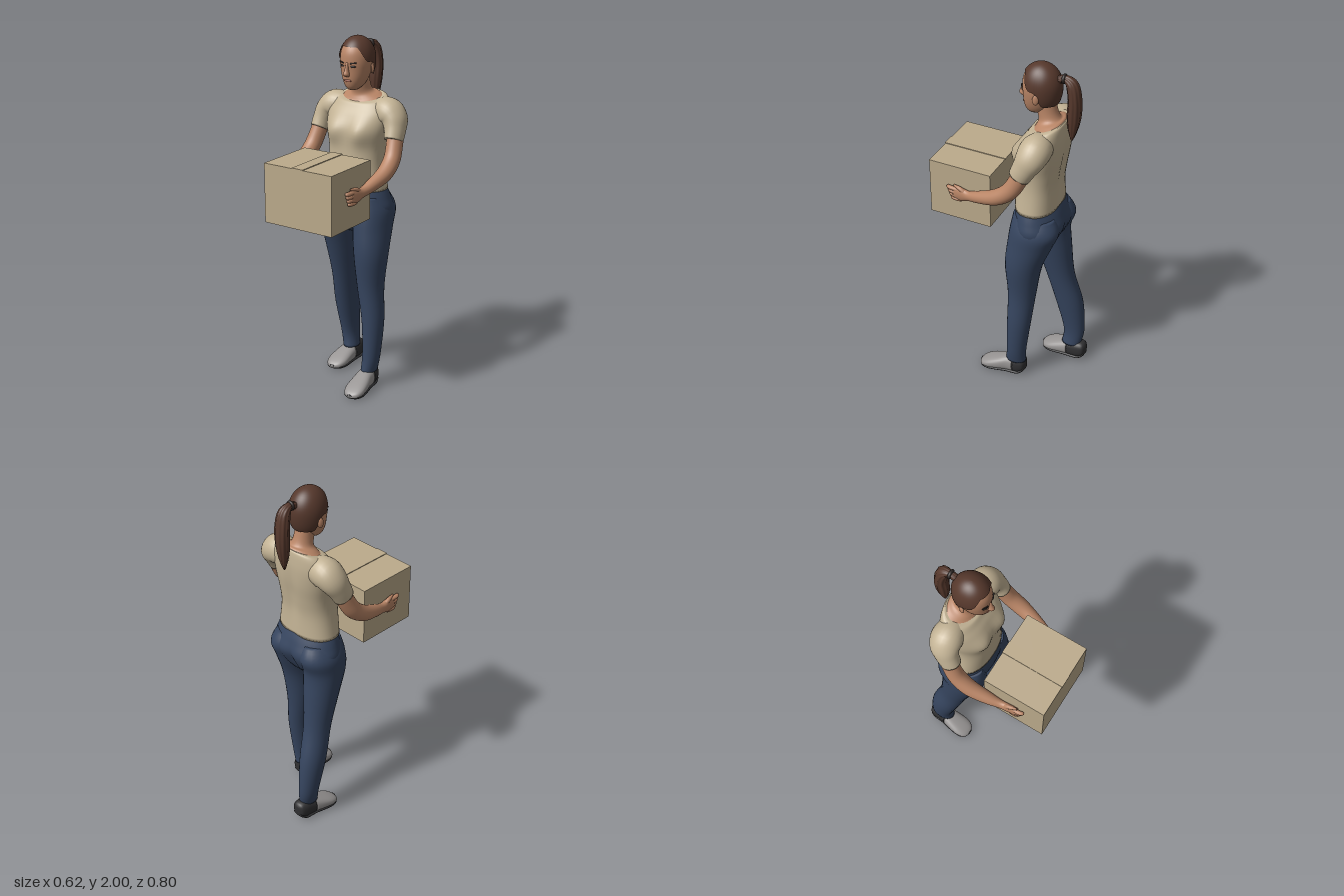
import * as THREE from 'three';

const mat = (name, color, side = THREE.FrontSide) => {
  const m = new THREE.MeshStandardMaterial({ color, side });
  m.name = name;
  return m;
};

// Smooth interpolation through rows of numbers
function smoothRows(rows, steps) {
  const out = [];
  const at = (i) => rows[Math.max(0, Math.min(rows.length - 1, i))];
  for (let i = 0; i < rows.length - 1; i++) {
    for (let s = 0; s < steps; s++) {
      const t = s / steps;
      out.push(at(i).map((b, k) => {
        const a = at(i - 1)[k], c = at(i + 1)[k], d = at(i + 2)[k];
        return b + 0.5 * t * (c - a + t * (2 * a - 5 * b + 4 * c - d + t * (3 * (b - c) + d - a)));
      }));
    }
  }
  out.push(rows[rows.length - 1]);
  return out;
}

// Closed skin over rings [x, y, z, radiusU, radiusV, tilt]; axis fixes the ring plane,
// otherwise rings follow the path. ref is the direction radiusU is measured along.
function loft(rows, { axis, ref = [1, 0, 0], seg = 28, steps = 5, power = 2, deform } = {}) {
  const rings = smoothRows(rows.map((r) => [...r, ...(r.length < 6 ? [0] : [])]), steps);
  const centres = rings.map((r) => new THREE.Vector3(r[0], r[1], r[2]));
  const pos = [], index = [], n = rings.length;
  const sp = (v) => Math.sign(v) * Math.abs(v) ** (2 / power);
  rings.forEach((r, i) => {
    const t = axis ? new THREE.Vector3(...axis)
      : centres[Math.min(i + 1, n - 1)].clone().sub(centres[Math.max(i - 1, 0)]).normalize();
    const u = new THREE.Vector3(...ref);
    u.addScaledVector(t, -u.dot(t)).normalize();
    const v = t.clone().cross(u);
    for (let j = 0; j < seg; j++) {
      const a = (j / seg) * Math.PI * 2;
      const p = centres[i].clone().addScaledVector(u, r[3] * sp(Math.cos(a))).addScaledVector(v, r[4] * sp(Math.sin(a)));
      p.y += r[5] * r[4] * sp(Math.sin(a));
      if (deform) deform(p, centres[i], a);
      pos.push(p.x, p.y, p.z);
    }
  });
  for (let i = 0; i < n - 1; i++) {
    for (let j = 0; j < seg; j++) {
      const k = (j + 1) % seg, a = i * seg, b = a + seg;
      index.push(a + j, a + k, b + k, a + j, b + k, b + j);
    }
  }
  pos.push(...centres[0].toArray(), ...centres[n - 1].toArray());
  for (let j = 0; j < seg; j++) {
    const k = (j + 1) % seg, e = (n - 1) * seg;
    index.push(n * seg, k, j, n * seg + 1, e + j, e + k);
  }
  return indexed(pos, index);
}

function indexed(pos, index) {
  const g = new THREE.BufferGeometry();
  g.setAttribute('position', new THREE.Float32BufferAttribute(pos, 3));
  g.setIndex(index);
  g.computeVertexNormals();
  return g;
}

// Hair cap: polar shell trimmed along the hairline
function hairCap() {
  const seg = 56, rows = 20, pos = [], index = [];
  for (let i = 0; i <= rows; i++) {
    for (let j = 0; j < seg; j++) {
      const a = (j / seg) * Math.PI * 2, off = Math.min(a, Math.PI * 2 - a);
      const rim = 0.93 + 0.68 * THREE.MathUtils.smoothstep(off, 0.55, 1.3) + 0.75 * THREE.MathUtils.smoothstep(off, 1.5, 2.0);
      const p = (i / rows) * rim;
      const s = p < Math.PI / 2 ? Math.sin(p) : Math.sqrt(Math.sin(p));
      pos.push(0.096 * s * Math.sin(a), 1.875 + 0.125 * Math.cos(p), -0.155 + 0.111 * s * Math.cos(a));
      if (i < rows) {
        const k = (j + 1) % seg, c = i * seg, d = c + seg;
        index.push(c + j, d + j, d + k, c + j, d + k, c + k);
      }
    }
  }
  return indexed(pos, index);
}

export function createModel() {
  const root = new THREE.Group();
  root.name = 'womanCarryingBox';
  const shirt = mat('shirt cream', 0xc3b395, THREE.DoubleSide), jeans = mat('denim blue', 0x36455f);
  const skin = mat('skin', 0xb98566), hair = mat('hair brown', 0x56382c, THREE.DoubleSide);
  const dark = mat('dark detail', 0x2d2624), lips = mat('lip', 0x985c4c);
  const card = mat('cardboard', 0xbcab8c), shoe = mat('shoe grey', 0x989594), sole = mat('sole black', 0x303032);
  const add = (name, geo, material, p = [0, 0, 0]) => {
    const m = new THREE.Mesh(geo, material);
    m.name = name;
    m.position.set(...p);
    root.add(m);
    return m;
  };
  const ball = (name, material, p, scale, ry = 0) => {
    const m = add(name, new THREE.SphereGeometry(1, 18, 12), material, p);
    m.scale.set(...scale);
    m.rotation.y = ry;
  };
  const UP = { axis: [0, 1, 0] };
  const bump = (d, w) => Math.exp(-((d / w) ** 2));

  // Jeans
  add('hips', loft([
    [0, 0.91, -0.17, 0.08, 0.07], [0, 0.97, -0.17, 0.17, 0.115], [0, 1.05, -0.177, 0.214, 0.14],
    [0, 1.12, -0.167, 0.2, 0.13], [0, 1.18, -0.158, 0.178, 0.113]], {
    ...UP, seg: 40,
    deform: (p, c) => { if (p.z < c.z) p.z += 0.022 * bump(p.x, 0.03) * bump(p.y - 1, 0.09); },
  }), jeans);
  add('leftLeg', loft([
    [0.14, 0.1, -0.08, 0.043, 0.06], [0.15, 0.2, -0.088, 0.05, 0.058], [0.149, 0.4, -0.102, 0.062, 0.069],
    [0.127, 0.6, -0.11, 0.075, 0.081], [0.123, 0.8, -0.117, 0.096, 0.105], [0.112, 0.95, -0.15, 0.106, 0.127],
    [0.11, 1.05, -0.175, 0.104, 0.138], [0.1, 1.13, -0.165, 0.08, 0.115]], UP), jeans);
  add('rightLeg', loft([
    [-0.135, 0.1, -0.31, 0.045, 0.057], [-0.15, 0.2, -0.318, 0.051, 0.063], [-0.148, 0.4, -0.283, 0.067, 0.082],
    [-0.13, 0.6, -0.23, 0.072, 0.083], [-0.12, 0.8, -0.188, 0.093, 0.105], [-0.114, 0.95, -0.16, 0.108, 0.125],
    [-0.112, 1.05, -0.175, 0.108, 0.138], [-0.1, 1.13, -0.165, 0.08, 0.115]], UP), jeans);

  // Shirt body with bust and spine shaping
  add('shirtBody', loft([
    [0, 1.165, -0.158, 0.184, 0.117, 0], [0, 1.3, -0.155, 0.164, 0.118, 0], [0, 1.4, -0.163, 0.164, 0.122, 0],
    [0, 1.5, -0.171, 0.182, 0.128, 0], [0, 1.58, -0.188, 0.188, 0.115, 0.05], [0, 1.63, -0.2, 0.172, 0.1, 0.15],
    [0, 1.66, -0.205, 0.148, 0.09, 0.25], [0, 1.668, -0.207, 0.125, 0.081, 0.3]], {
    ...UP, seg: 48, power: 2.3,
    deform: (p, c) => {
      if (p.z > c.z) p.z += 0.027 * bump(Math.abs(p.x) - 0.085, 0.055) * bump(p.y - 1.49, 0.07);
      else p.z += 0.014 * bump(p.x, 0.03) * bump(p.y - 1.42, 0.16);
    },
  }), shirt);

  // Neck flowing into the open collar
  add('neck', loft([
    [0, 1.665, -0.207, 0.123, 0.079, 0.3], [0, 1.677, -0.207, 0.095, 0.07, 0.3], [0, 1.695, -0.203, 0.06, 0.058, 0.15],
    [0, 1.74, -0.188, 0.05, 0.056, 0], [0, 1.82, -0.175, 0.05, 0.05, 0]], UP), skin);

  for (const s of [1, -1]) {
    const side = s > 0 ? 'left' : 'right';
    // Sleeve and arm
    add(side + 'Sleeve', loft([
      [s * 0.1, 1.585, -0.205, 0.07, 0.075], [s * 0.17, 1.59, -0.203, 0.085, 0.084], [s * 0.215, 1.56, -0.193, 0.08, 0.07],
      [s * 0.235, 1.51, -0.17, 0.066, 0.056], [s * 0.242, 1.458, -0.145, 0.059, 0.051]], { ref: [0, 0, 1] }), shirt);
    add(side + 'Arm', loft([
      [s * 0.238, 1.52, -0.175, 0.045, 0.048], [s * 0.252, 1.43, -0.138, 0.045, 0.048], [s * 0.262, 1.36, -0.095, 0.046, 0.047],
      [s * 0.264, 1.305, -0.02, 0.044, 0.043], [s * 0.25, 1.265, 0.08, 0.034, 0.034], [s * 0.238, 1.243, 0.15, 0.023, 0.029],
      [s * 0.232, 1.237, 0.2, 0.019, 0.042], [s * 0.228, 1.234, 0.245, 0.017, 0.04]]), skin);
    // Fingers gripping the box side
    for (let i = 0; i < 4; i++) {
      const y = 1.262 - i * 0.02, z = 0.288 - i * 0.008;
      add(side + 'Finger', loft([
        [s * 0.23, y - 0.003, 0.2, 0.012, 0.011], [s * 0.234, y, z - 0.03, 0.013, 0.012],
        [s * 0.228, y, z - 0.008, 0.011, 0.011], [s * 0.224, y, z, 0.004, 0.004]], { seg: 10, steps: 3 }), skin);
    }
    add(side + 'Thumb', loft([
      [s * 0.236, 1.25, 0.165, 0.013, 0.013], [s * 0.237, 1.273, 0.205, 0.012, 0.012],
      [s * 0.228, 1.28, 0.245, 0.005, 0.005]], { seg: 10, steps: 4 }), skin);

    // Shoe: dark heel, grey upper, dark sole
    const dz = s > 0 ? 0 : -0.262, split = s > 0 ? 3 : 4;
    const rows = [
      [0.136, 0.07, -0.14, 0.018, 0.026], [0.136, 0.071, -0.128, 0.038, 0.042], [0.137, 0.066, -0.1, 0.046, 0.054],
      [0.138, 0.064, -0.07, 0.048, 0.054], [0.14, 0.06, -0.03, 0.05, 0.05], [0.145, 0.05, 0.02, 0.057, 0.041],
      [0.149, 0.036, 0.08, 0.06, 0.03], [0.151, 0.026, 0.12, 0.045, 0.019], [0.151, 0.021, 0.138, 0.016, 0.008],
    ].map(([x, y, z, a, b]) => [s * x, y, z + dz, a, b]);
    const shoeOpts = { axis: [0, 0, 1], power: 2.5, steps: 4 };
    add(side + 'ShoeHeel', loft(rows.slice(0, split + 1), shoeOpts), sole);
    add(side + 'ShoeUpper', loft(rows.slice(split), shoeOpts), shoe);
    add(side + 'ShoeSole', loft(rows.map(([x, y, z, a, b]) => [x, y - b + 0.008, z, a * 0.97, 0.012]), shoeOpts), sole);

    // Face details
    ball(side + 'Ear', skin, [s * 0.093, 1.832, -0.162], [0.009, 0.029, 0.017], s * 0.3);
    ball(side + 'Eye', dark, [s * 0.035, 1.848, -0.0615], [0.015, 0.006, 0.004], s * 0.38);
    const brow = new THREE.CapsuleGeometry(0.0035, 0.03, 3, 8).rotateZ(Math.PI / 2 + s * 0.12);
    add(side + 'Brow', brow, dark, [s * 0.037, 1.867, -0.06]).rotation.y = s * 0.42;
  }

  // Head
  add('head', loft([
    [0, 1.715, -0.115, 0.025, 0.03], [0, 1.735, -0.127, 0.047, 0.057], [0, 1.77, -0.137, 0.066, 0.077],
    [0, 1.82, -0.146, 0.081, 0.09], [0, 1.87, -0.15, 0.087, 0.097], [0, 1.92, -0.155, 0.083, 0.096],
    [0, 1.96, -0.157, 0.064, 0.075], [0, 1.985, -0.16, 0.035, 0.04]], { ...UP, seg: 36 }), skin);
  add('nose', loft([
    [0, 1.793, -0.057, 0.012, 0.01], [0, 1.805, -0.049, 0.017, 0.019], [0, 1.83, -0.053, 0.011, 0.015],
    [0, 1.868, -0.057, 0.007, 0.008]], { ...UP, seg: 14 }), skin);
  ball('mouth', lips, [0, 1.769, -0.062], [0.024, 0.007, 0.006]);

  // Hair with a tied tail
  add('hairCap', hairCap(), hair);
  add('ponytail', loft([
    [0, 1.925, -0.245, 0.02, 0.02], [0, 1.938, -0.285, 0.02, 0.02], [0, 1.91, -0.322, 0.033, 0.032],
    [0, 1.83, -0.338, 0.04, 0.034], [0, 1.74, -0.336, 0.036, 0.036], [0, 1.66, -0.331, 0.024, 0.026],
    [0, 1.59, -0.327, 0.004, 0.006]], {
    seg: 40,
    deform: (p, c, a) => p.sub(c).multiplyScalar(1 + 0.06 * Math.cos(a * 10)).add(c),
  }), hair);
  add('hairTie', new THREE.TorusGeometry(0.018, 0.009, 10, 24), dark, [0, 1.938, -0.278]);

  // Carried box with a closing strip
  add('box', new THREE.BoxGeometry(0.43, 0.328, 0.36), card, [0, 1.224, 0.218]);
  add('boxStrip', new THREE.BoxGeometry(0.07, 0.004, 0.365), card, [0, 1.39, 0.218]);

  return root;
}
